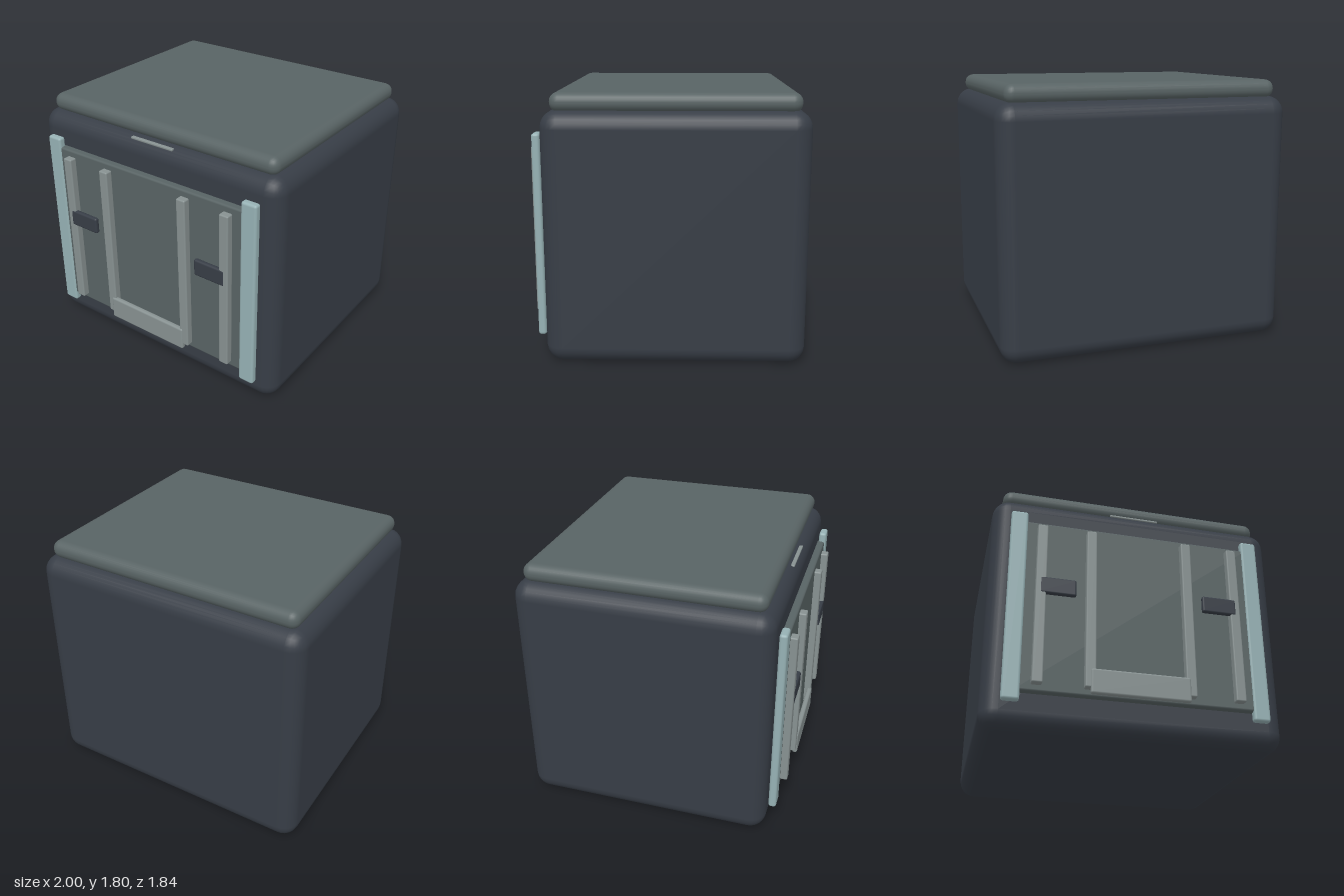
import * as THREE from 'three';
import { RoundedBoxGeometry } from 'three/addons/geometries/RoundedBoxGeometry.js';

const paint = (name, color) => {
  const material = new THREE.MeshStandardMaterial({ color });
  material.name = name;
  return material;
};

export function createModel() {
  const model = new THREE.Group();
  model.name = 'container';
  const dark = paint('dark slate', 0x373d46);
  const slate = paint('grey green', 0x586364);
  const steel = paint('light grey', 0x879191);
  const pale = paint('pale blue', 0x96b1b4);

  // Rounded block given by its [min, max] on each axis
  const block = (name, material, [x0, x1], [y0, y1], [z0, z1], radius, segments = 2) => {
    const geometry = new RoundedBoxGeometry(x1 - x0, y1 - y0, z1 - z0, segments, radius);
    const mesh = new THREE.Mesh(geometry, material);
    mesh.position.set((x0 + x1) / 2, (y0 + y1) / 2, (z0 + z1) / 2);
    mesh.name = name;
    model.add(mesh);
    return mesh;
  };

  // Main shell and lid
  block('body', dark, [-1, 1], [0, 1.69], [-0.92, 0.813], 0.115, 3);
  block('lid', slate, [-0.932, 0.932], [1.675, 1.8], [-0.855, 0.75], 0.06, 3);
  block('lidCatch', steel, [-0.175, 0.172], [1.66, 1.677], [0.755, 0.782], 0.006);

  // Front door with its pull at the bottom
  block('doorPanel', slate, [-0.8, 0.8], [0.23, 1.467], [0.805, 0.864], 0.015);
  block('doorPull', steel, [-0.332, 0.325], [0.23, 0.4], [0.885, 0.922], 0.015);

  // Mirrored rails, ribs and latches
  for (const side of [-1, 1]) {
    const prefix = side > 0 ? 'left' : 'right';
    const span = (a, b) => (side > 0 ? [a, b] : [-b, -a]);
    block(prefix + 'Rail', pale, span(0.765, 0.88), [0.162, 1.535], [0.82, 0.874], 0.018);
    block(prefix + 'OuterRib', steel, span(0.632, 0.702), [0.272, 1.422], [0.858, 0.914], 0.01);
    block(prefix + 'InnerRib', steel, span(0.297, 0.367), [0.272, 1.422], [0.858, 0.914], 0.01);
    block(prefix + 'Latch', dark, span(0.433, 0.674), [0.9, 1.02], [0.882, 0.917], 0.014);
  }
  return model;
}
